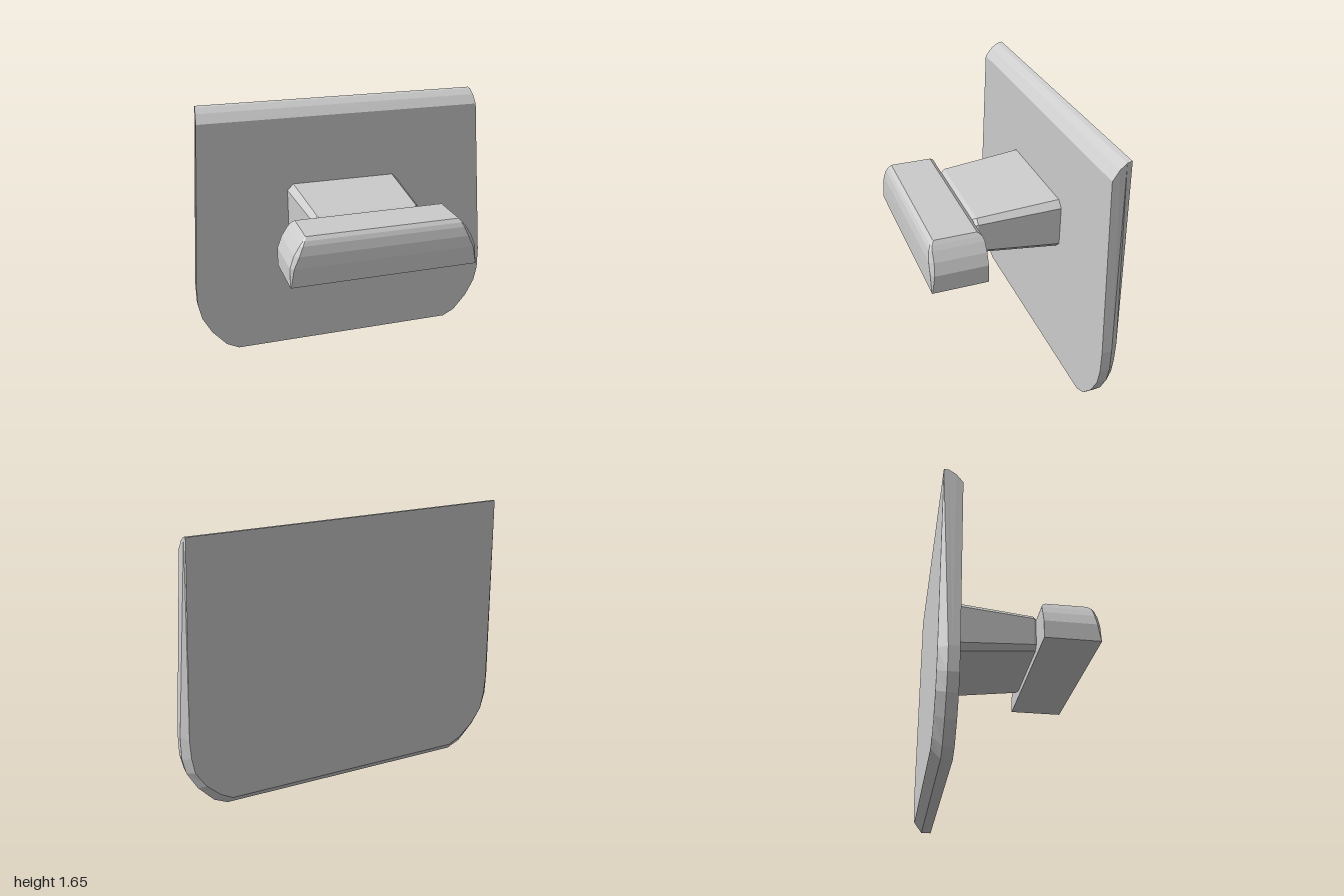
import * as THREE from 'three';

const material = new THREE.MeshStandardMaterial({ color: 0xcccccc, flatShading: true });

// Skin a list of equal-length convex rings and cap both ends
function loft(name, rings) {
  const pos = [];
  const tri = (a, b, c) => pos.push(...a, ...b, ...c);
  const n = rings[0].length;
  for (let r = 0; r < rings.length - 1; r++) {
    const a = rings[r], b = rings[r + 1];
    for (let i = 0; i < n; i++) {
      const j = (i + 1) % n;
      tri(a[i], a[j], b[j]);
      tri(a[i], b[j], b[i]);
    }
  }
  const first = rings[0], last = rings[rings.length - 1];
  for (let i = 1; i < n - 1; i++) {
    tri(first[0], first[i + 1], first[i]);
    tri(last[0], last[i], last[i + 1]);
  }
  const geometry = new THREE.BufferGeometry();
  geometry.setAttribute('position', new THREE.Float32BufferAttribute(pos, 3));
  geometry.computeVertexNormals();
  const mesh = new THREE.Mesh(geometry, material);
  mesh.name = name;
  return mesh;
}

// Mirror the right half of an outline (bottom to top) into a full ring
const mirrorRing = (half) => [...half, ...half.map(([x, y, z]) => [-x, y, z]).reverse()];

// Plate: right half of the outline, with a rounded lower corner
const outline = [[0.75, 0], [0.83, 0.04], [0.92, 0.145], [0.98, 0.26], [1, 0.36], [1, 0.5]];
const backOutline = [[0.73, 0.06], [0.8, 0.1], [0.88, 0.18], [0.94, 0.28], [0.955, 0.38], [0.96, 0.5]];

function plateRing(points, z, topX, topY, topZ = z) {
  return mirrorRing([...points.map(([x, y]) => [x, y, z]), [topX, topY, topZ]]);
}

function createPlate() {
  return loft('backPlate', [
    plateRing(backOutline, -0.48, 0.905, 1.65),
    plateRing(outline, -0.43, 0.907, 1.645, -0.45),
    plateRing(outline, -0.41, 0.912, 1.615),
    plateRing(outline, -0.37, 0.917, 1.56),
  ]);
}

// Neck: tapered block with chamfered long edges
function neckRing(z, w, y0, y1, c) {
  return mirrorRing([[w - c, y0, z], [w, y0 + c, z], [w, y1 - c, z], [w - c, y1, z]]);
}

function createNeck() {
  return loft('neck', [
    neckRing(-0.38, 0.375, 0.803, 1.13, 0.04),
    neckRing(0.13, 0.34, 0.855, 1.09, 0.03),
    neckRing(0.16, 0.32, 0.87, 1.075, 0.03),
  ]);
}

// Handle: crossbar stacked upwards, its upper edges rounded in facets
function handleRing([y, w, z0, z1, cut]) {
  return [[-w, y, z0], [-w, y, z1 - cut], [-w + cut, y, z1],
    [w - cut, y, z1], [w, y, z1 - cut], [w, y, z0]];
}

function createHandle() {
  return loft('handle', [
    [0.82, 0.56, 0.145, 0.48, 0.003],
    [0.93, 0.557, 0.145, 0.48, 0.02],
    [1.0, 0.53, 0.145, 0.478, 0.025],
    [1.055, 0.495, 0.147, 0.467, 0.015],
    [1.08, 0.475, 0.155, 0.455, 0.008],
    [1.1, 0.457, 0.18, 0.435, 0.003],
  ].map(handleRing));
}

export function createModel() {
  const model = new THREE.Group();
  model.name = 'plateWithHandle';
  model.add(createPlate(), createNeck(), createHandle());
  return model;
}
